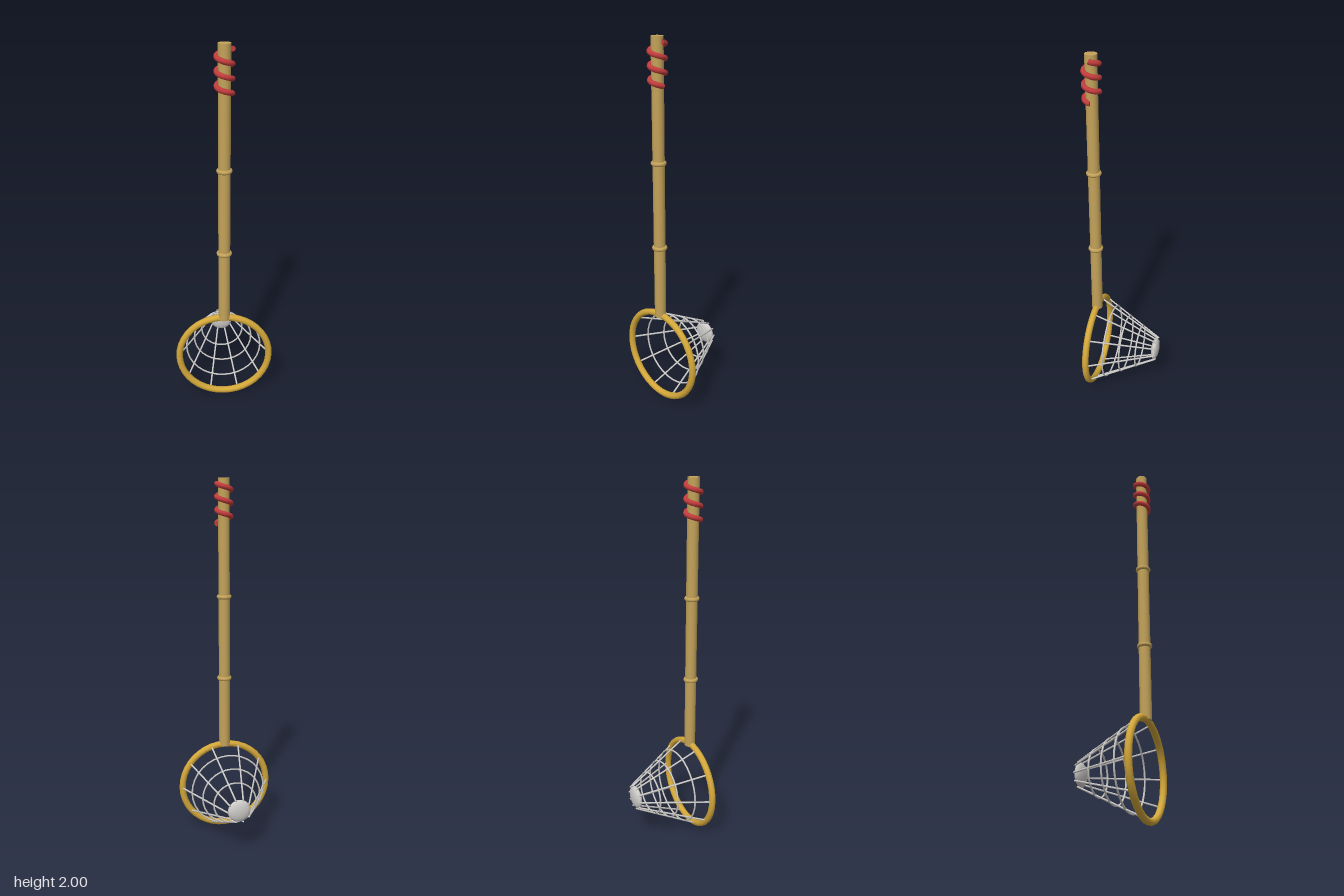
import * as THREE from 'three';

const material = (name, color) => {
  const m = new THREE.MeshStandardMaterial({ color });
  m.name = name;
  return m;
};

export function createModel() {
  const model = new THREE.Group();
  const bamboo = material('bamboo', 0xc4a35a);
  const gold = material('golden cane', 0xd4a83a);
  const red = material('red cord', 0xc43c3c);
  const silver = material('pale mesh', 0xcfcdca);

  const add = (name, geometry, mat, x = 0, y = 0, z = 0, parent = model) => {
    const mesh = new THREE.Mesh(geometry, mat);
    mesh.name = name;
    mesh.position.set(x, y, z);
    parent.add(mesh);
    return mesh;
  };

  const rimY = 0.272, poleZ = 0.16;

  // Pole with raised joints
  add('pole', new THREE.CylinderGeometry(0.031, 0.031, 1.485, 16), bamboo, 0, 1.2575, poleZ);
  for (const y of [0.92, 1.38]) {
    add('poleJoint', new THREE.TorusGeometry(0.029, 0.012, 8, 20), bamboo, 0, y, poleZ).rotation.x = Math.PI / 2;
  }

  // Cord wound three times around the grip
  class Coil extends THREE.Curve {
    getPoint(t, target = new THREE.Vector3()) {
      const a = t * Math.PI * 6;
      return target.set(0.038 * Math.cos(a), 0.205 * t, 0.038 * Math.sin(a));
    }
  }
  const cord = add('gripCord', new THREE.TubeGeometry(new Coil(), 72, 0.0135, 8), red, 0, 1.768, poleZ);
  for (const t of [0, 1]) {
    const end = new Coil().getPoint(t);
    const cap = add('cordEnd', new THREE.CircleGeometry(0.0135, 8), red, end.x, end.y, end.z, cord);
    if (t === 0) cap.rotation.y = Math.PI;
  }

  // Rim
  add('rim', new THREE.TorusGeometry(0.25, 0.0185, 10, 40), gold, 0, rimY, poleZ);

  // Basket narrowing toward the back
  const basket = new THREE.Group();
  basket.name = 'basket';
  basket.position.y = rimY;
  model.add(basket);

  const radiusAt = (z) => 0.065 + (z + 0.2) * 0.53;
  for (const z of [0.073, -0.012, -0.097]) {
    add('basketRing', new THREE.TorusGeometry(radiusAt(z), 0.005, 6, 32), silver, 0, 0, z, basket);
  }

  const up = new THREE.Vector3(0, 1, 0);
  for (let i = 0; i < 10; i++) {
    const a = (i * Math.PI) / 5;
    const at = (z) => new THREE.Vector3(Math.cos(a) * radiusAt(z), Math.sin(a) * radiusAt(z), z);
    const front = at(0.15), back = at(-0.2);
    const mid = front.clone().add(back).multiplyScalar(0.5);
    const along = front.clone().sub(back);
    const rib = add('basketRib', new THREE.CylinderGeometry(0.005, 0.005, along.length(), 6), silver, mid.x, mid.y, mid.z, basket);
    rib.quaternion.setFromUnitVectors(up, along.normalize());
  }

  // Flattened button closing the basket
  add('basketButton', new THREE.SphereGeometry(0.064, 16, 10), silver, 0, 0, -0.19, basket).scale.z = 0.35;

  return model;
}
